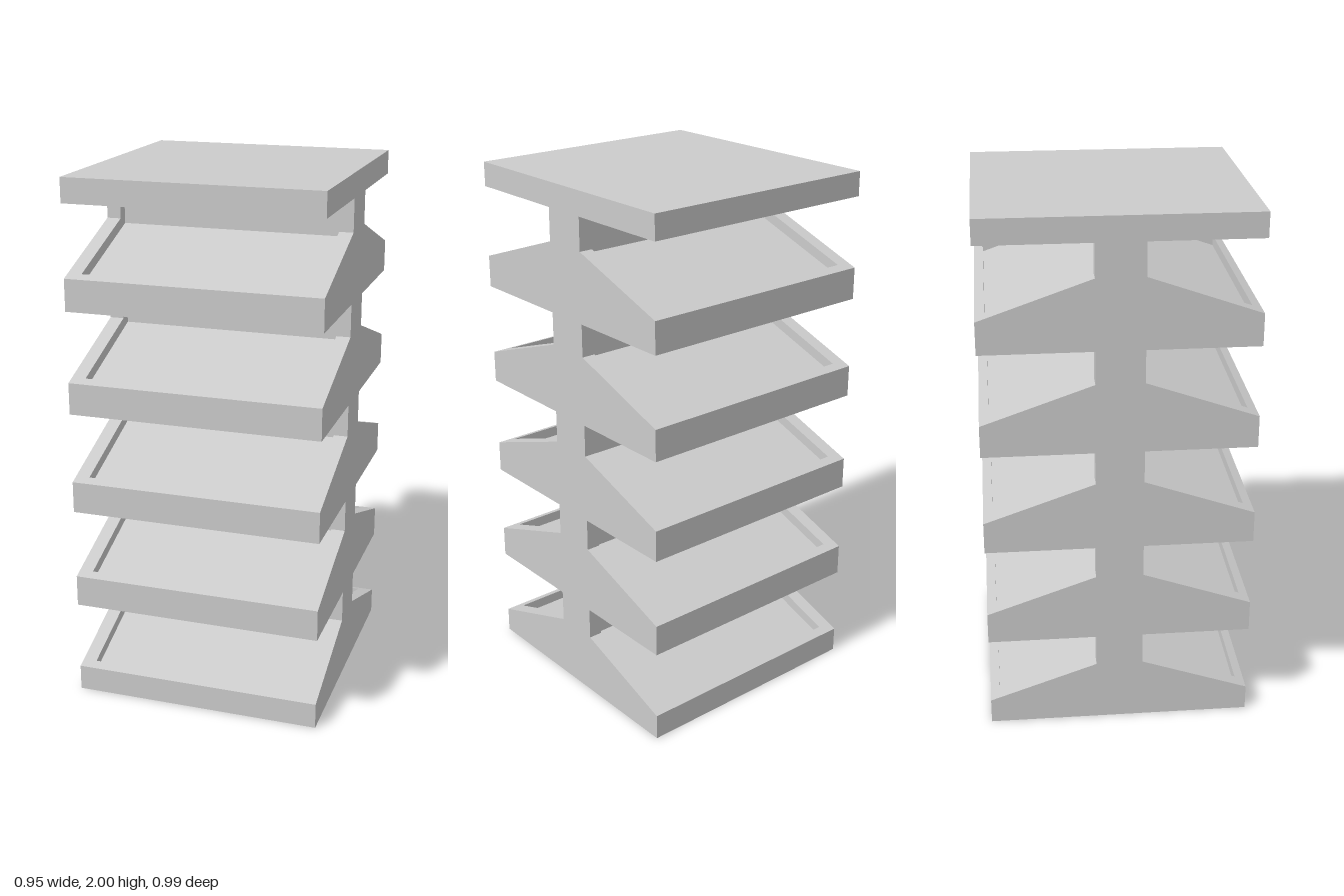
import * as THREE from 'three';

const material = new THREE.MeshStandardMaterial({ color: 0xcccccc, flatShading: true });

const HALF_W = 0.473, INNER = 0.42;      // outer and inner half widths (x)
const DEPTH = 0.496, SPINE = 0.088;      // half depths of shelf and spine (z)
const TIERS = 5, STEP = 0.3862;
const LIP = 0.035, BACK = 0.045;         // tray lip thickness, recessed spine half depth
const FLOOR_DROP = 0.04, RECESS = 0.025; // tray depth, underside recess
const SLOPE = 0.143 / (DEPTH - SPINE);

const lipTop = (i) => 0.098 + STEP * i;
const underside = (i) => (i === 0 ? 0 : -0.022 + STEP * i);
const slopeY = (i, z) => lipTop(i) + (DEPTH - z) * SLOPE;

// Outline of the full end panel, one half, from bottom to top
function panelHalf() {
  const p = [[DEPTH, 0]];
  for (let i = 0; i < TIERS; i++) {
    p.push([DEPTH, lipTop(i)], [SPINE, slopeY(i, SPINE)],
      [SPINE, underside(i + 1)], [DEPTH, underside(i + 1)]);
  }
  p.push([DEPTH, 2]);
  return p;
}

// Section between the panels: lips, sunken sloping trays and hollow undersides
function trayHalf() {
  const edge = DEPTH - LIP;
  const p = [[DEPTH, 0]];
  for (let i = 0; i < TIERS; i++) {
    const under = underside(i + 1);
    p.push([DEPTH, lipTop(i)], [edge, slopeY(i, edge)],
      [edge, slopeY(i, edge) - FLOOR_DROP], [BACK, slopeY(i, BACK) - FLOOR_DROP],
      [BACK, under + RECESS], [edge, under + RECESS], [edge, under], [DEPTH, under]);
  }
  p.push([DEPTH, 2]);
  return p;
}

// Mirror a half outline front to back and extrude it along x
function extrudeSection(half, width, x, name) {
  const mirrored = half.map(([z, y]) => [-z, y]).reverse();
  const shape = new THREE.Shape([...half, ...mirrored].map(([z, y]) => new THREE.Vector2(z, y)));
  const geometry = new THREE.ExtrudeGeometry(shape, { depth: width, bevelEnabled: false });
  geometry.translate(0, 0, -width / 2).rotateY(-Math.PI / 2);
  const mesh = new THREE.Mesh(geometry, material);
  mesh.position.x = x;
  mesh.name = name;
  return mesh;
}

export function createModel() {
  const model = new THREE.Group();
  model.name = 'doubleSidedShelfRack';
  const panelWidth = HALF_W - INNER;
  for (const [side, name] of [[1, 'leftEndPanel'], [-1, 'rightEndPanel']]) {
    model.add(extrudeSection(panelHalf(), panelWidth, side * (INNER + panelWidth / 2), name));
  }
  model.add(extrudeSection(trayHalf(), INNER * 2, 0, 'shelfTraysAndSpine'));
  return model;
}
